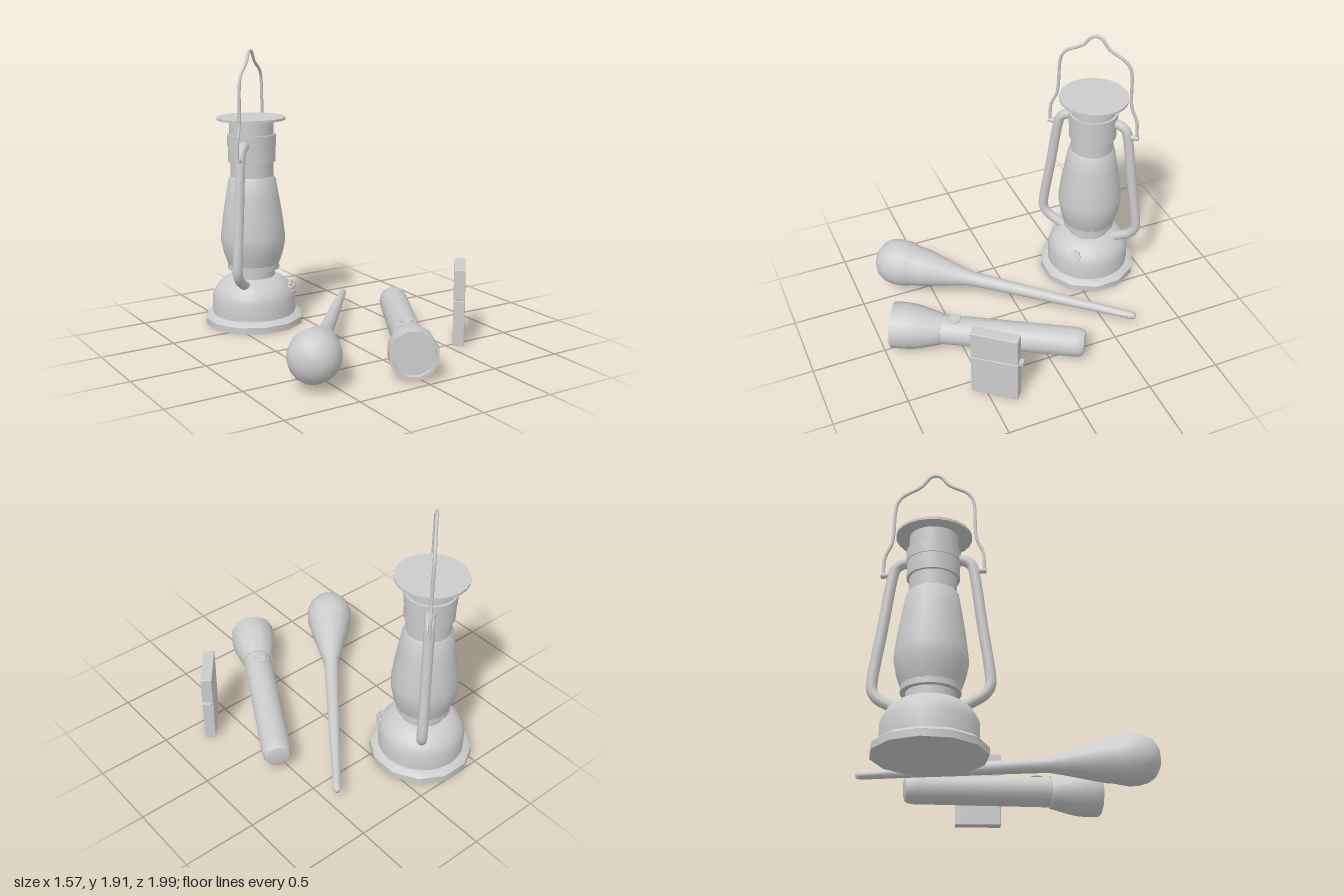
import * as THREE from 'three';
import { toCreasedNormals } from 'three/addons/utils/BufferGeometryUtils.js';
import { RoundedBoxGeometry } from 'three/addons/geometries/RoundedBoxGeometry.js';

const material = new THREE.MeshStandardMaterial({ color: 0xcccccc });
const UP = new THREE.Vector3(0, 1, 0);

function add(parent, name, geometry, x = 0, y = 0, z = 0) {
  const mesh = new THREE.Mesh(geometry, material);
  mesh.name = name;
  mesh.position.set(x, y, z);
  parent.add(mesh);
  return mesh;
}

function group(parent, name, x = 0, y = 0, z = 0) {
  const g = new THREE.Group();
  g.name = name;
  g.position.set(x, y, z);
  parent.add(g);
  return g;
}

// Turned part from [radius, height] pairs, listed bottom to top
function turned(profile, sides = 12, crease = 0.6) {
  const points = profile.map(([r, y]) => new THREE.Vector2(r, y));
  return toCreasedNormals(new THREE.LatheGeometry(points, sides, Math.PI / 12), crease);
}

// Bent round bar through [x, y] points
function bar(points, radius, segments, sides) {
  const path = new THREE.CatmullRomCurve3(
    points.map(([x, y]) => new THREE.Vector3(x, y, 0)), false, 'centripetal');
  return new THREE.TubeGeometry(path, segments, radius, sides);
}

// Turns a part's y axis to run from one point to another
function layAlong(object, from, to) {
  const direction = to.clone().sub(from).normalize();
  object.position.copy(from);
  object.quaternion.setFromUnitVectors(UP, direction);
}

function buildLantern(root) {
  const lantern = group(root, 'lantern', -0.305, 0, -0.668);
  lantern.rotation.y = Math.PI / 4;

  add(lantern, 'basePlate', turned([[0, 0], [0.345, 0], [0.345, 0.045], [0.312, 0.07], [0.28, 0.075]]))
    .rotation.y = -Math.PI / 4;
  add(lantern, 'fuelTank', turned([
    [0.29, 0.06], [0.29, 0.19], [0.277, 0.23], [0.25, 0.27], [0.21, 0.305], [0.16, 0.33], [0.1, 0.335]], 24));
  add(lantern, 'burner', turned([
    [0.148, 0.32], [0.148, 0.385], [0.18, 0.385], [0.18, 0.425], [0.15, 0.425]], 24));
  add(lantern, 'glassGlobe', turned([
    [0.15, 0.42], [0.18, 0.42], [0.205, 0.49], [0.223, 0.58], [0.222, 0.63], [0.208, 0.75],
    [0.185, 0.89], [0.163, 1.02], [0.15, 1.04], [0.12, 1.04]], 16));
  add(lantern, 'chimney', turned([
    [0.12, 1.035], [0.147, 1.035], [0.147, 1.14], [0.163, 1.14], [0.163, 1.25], [0.168, 1.25],
    [0.168, 1.33], [0.152, 1.33], [0.152, 1.435]], 24));
  add(lantern, 'lid', turned([[0, 1.43], [0.236, 1.43], [0.236, 1.447], [0, 1.447]], 24));

  // Side tubes with handle pivots
  for (const side of [-1, 1]) {
    const tube = [[0.19, 0.3], [0.26, 0.335], [0.315, 0.37], [0.348, 0.42], [0.35, 0.48],
      [0.3, 0.83], [0.254, 1.16], [0.235, 1.23], [0.19, 1.262], [0.13, 1.268]];
    add(lantern, 'sideTube', bar(tube.map(([x, y]) => [x * side, y]), 0.034, 40, 10));
    const pivot = add(lantern, 'handlePivot', new THREE.CylinderGeometry(0.018, 0.018, 0.07, 8), side * 0.29, 1.187, 0);
    pivot.rotation.z = Math.PI / 2;
  }

  // Wire handle, one half mirrored
  const half = [[0.312, 1.175], [0.312, 1.24], [0.305, 1.32], [0.267, 1.41], [0.258, 1.47],
    [0.25, 1.66], [0.238, 1.71], [0.205, 1.755], [0.09, 1.82], [0.035, 1.885]];
  const wire = [...half.map(([x, y]) => [-x, y]), [0, 1.898], ...half.slice().reverse()];
  add(lantern, 'wireHandle', bar(wire, 0.011, 80, 6));

  // Toothed wick knob on the tank's shoulder
  const knob = group(lantern, 'wickKnob', 0, 0.25, 0.25);
  knob.rotation.x = -0.45;
  const outline = new THREE.Shape();
  for (let i = 0; i < 32; i++) {
    const a = i * Math.PI / 16, r = i % 4 < 2 ? 0.045 : 0.035;
    outline[i ? 'lineTo' : 'moveTo'](r * Math.cos(a), r * Math.sin(a));
  }
  add(knob, 'knobWheel', new THREE.ExtrudeGeometry(outline, { depth: 0.018, bevelEnabled: false }), 0, 0, 0.025);
  const stem = add(knob, 'knobStem', new THREE.CylinderGeometry(0.018, 0.018, 0.08, 10), 0, 0, 0.015);
  stem.rotation.x = Math.PI / 2;
}

function buildFlashlight(root) {
  const flashlight = group(root, 'flashlight');
  layAlong(flashlight, new THREE.Vector3(-0.055, 0.164, 0.915), new THREE.Vector3(0.58, 0.125, -0.228));
  add(flashlight, 'lens', turned([[0, 0.025], [0.135, 0.025]]));
  add(flashlight, 'head', turned([
    [0.132, 0.03], [0.135, 0], [0.156, 0], [0.158, 0.08], [0.153, 0.15], [0.138, 0.22],
    [0.119, 0.29], [0.108, 0.335], [0.095, 0.335]]));
  add(flashlight, 'barrel', turned([
    [0.1, 0.32], [0.099, 1.24], [0.095, 1.275], [0.082, 1.3], [0.055, 1.308], [0, 1.308]], 16));
  // Switch on the upper side of the barrel
  add(root, 'switchRing', new THREE.TorusGeometry(0.037, 0.007, 6, 20), 0.147, 0.25, 0.542).rotation.x = Math.PI / 2;
  add(root, 'switchButton', new THREE.CylinderGeometry(0.034, 0.034, 0.03, 16), 0.147, 0.24, 0.542);
}

function buildClub(root) {
  const club = add(root, 'club', turned([
    [0, 0], [0.018, 0.006], [0.026, 0.03], [0.027, 0.08], [0.031, 0.3], [0.04, 0.65], [0.045, 0.95],
    [0.052, 1.2], [0.07, 1.28], [0.1, 1.4], [0.121, 1.48], [0.14, 1.56], [0.145, 1.61], [0.155, 1.64],
    [0.166, 1.69], [0.166, 1.75], [0.152, 1.81], [0.12, 1.86], [0.07, 1.89], [0, 1.9]], 16, 1.2));
  layAlong(club, new THREE.Vector3(0.45, 0.083, -0.683), new THREE.Vector3(-0.725, 0.21, 0.82));
}

function buildLighter(root) {
  const lighter = group(root, 'lighter', 0.65, 0, 0.445);
  lighter.rotation.y = Math.atan2(0.785, 0.62);
  add(lighter, 'lighterCase', new RoundedBoxGeometry(0.315, 0.308, 0.075, 2, 0.006), 0, 0.164, 0);
  add(lighter, 'lighterLid', new RoundedBoxGeometry(0.315, 0.203, 0.075, 2, 0.006), 0, 0.4215, 0);
  add(lighter, 'lighterHinge', new THREE.BoxGeometry(0.035, 0.025, 0.045), 0.168, 0.32, 0);
}

export function createModel() {
  const root = new THREE.Group();
  root.name = 'campGear';
  buildLantern(root);
  buildFlashlight(root);
  buildClub(root);
  buildLighter(root);
  return root;
}
